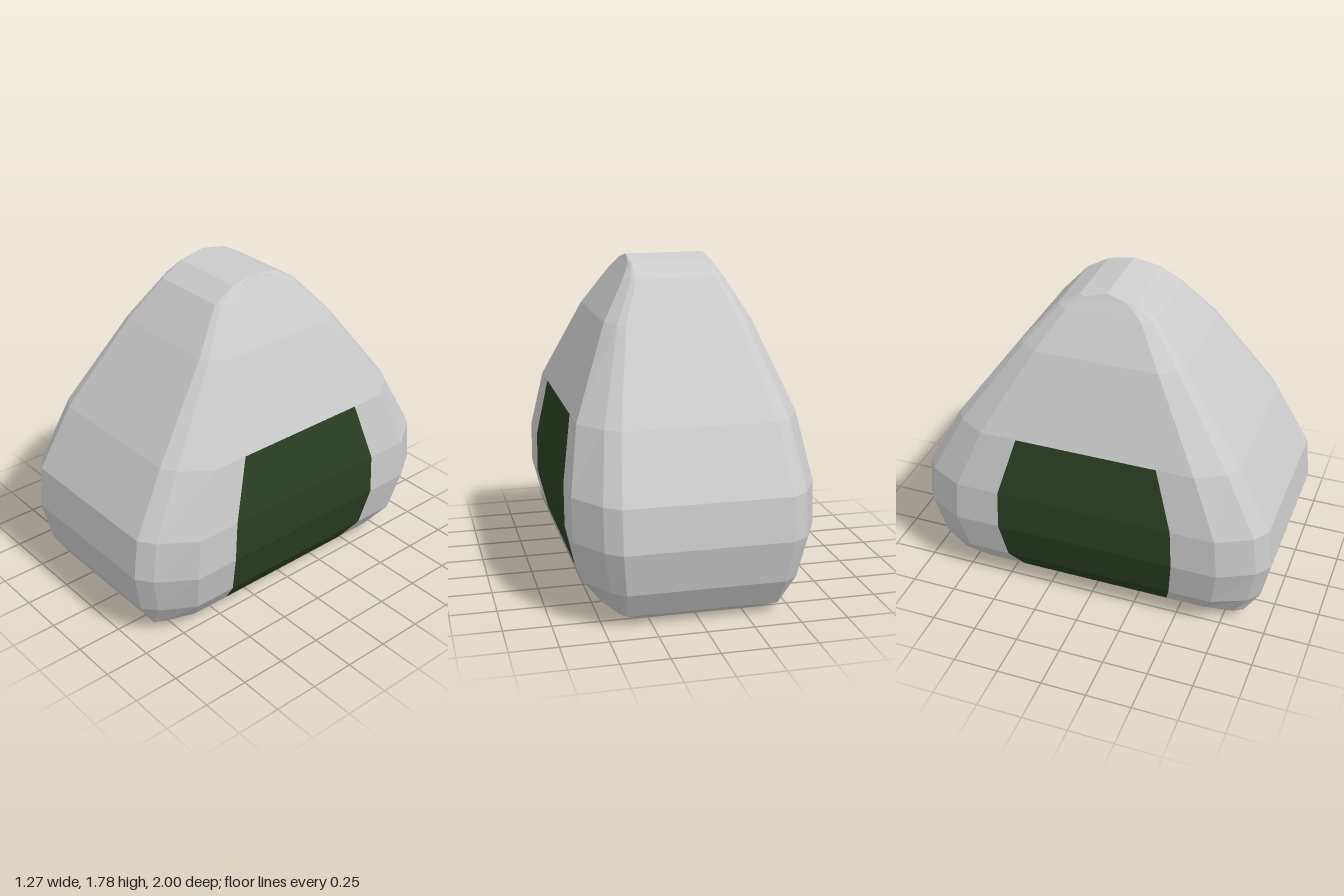
import * as THREE from 'three';

// Levels of the rounded wedge, bottom to top:
// height, half width, half depth, half width of front face, half depth of wrap, x offset
const LEVELS = [
  [0.00, 0.30, 0.75, 0.27, 0.43, -0.02],
  [0.06, 0.47, 0.86, 0.40, 0.43, 0],
  [0.21, 0.58, 0.95, 0.415, 0.475, 0],
  [0.44, 0.635, 1.00, 0.44, 0.50, 0],
  [0.67, 0.635, 0.975, 0.44, 0.49, 0],
  [1.01, 0.58, 0.79, 0.405, 0.39, 0],
  [1.47, 0.395, 0.45, 0.30, 0.22, -0.01],
  [1.68, 0.27, 0.27, 0.215, 0.13, -0.018],
  [1.75, 0.228, 0.15, 0.213, 0.07, -0.018],
  [1.78, 0.213, 0.00, 0.213, 0.00, -0.018],
];
const WRAP_TOP = 5; // the wrap ends at this level

// Sixteen-point cross-section with bevelled corners
function ring([y, x, z, xf, zn, cx]) {
  const xm = xf + (x - xf) * 0.43;
  const quarter = [[x, zn], [x, z * 0.75], [xm, z * 0.94], [xf, z]];
  const flip = (sx, sz) => quarter.map(([px, pz], i) =>
    new THREE.Vector3(cx + sx * px - (i > 1 && y > 0 && y < 1.4 ? 0.015 : 0), y, sz * pz));
  return [
    ...flip(1, 1), ...flip(-1, 1).reverse(),
    ...flip(-1, -1), ...flip(1, -1).reverse(),
  ];
}

function facetedMesh(name, points, color) {
  const geometry = new THREE.BufferGeometry().setFromPoints(points);
  geometry.computeVertexNormals();
  const mesh = new THREE.Mesh(geometry, new THREE.MeshStandardMaterial({ color, flatShading: true }));
  mesh.name = name;
  return mesh;
}

export function createModel() {
  const group = new THREE.Group();
  group.name = 'riceBall';
  const rice = [], wrap = [];

  // Add a triangle unless it has collapsed to a line
  const tri = (list, a, b, c) => {
    const area = b.clone().sub(a).cross(c.clone().sub(a)).length();
    if (area > 1e-7) list.push(a, b, c);
  };
  const fan = (list, pts) => {
    for (let i = 1; i < pts.length - 1; i++) tri(list, pts[0], pts[i], pts[i + 1]);
  };

  // Walls between neighbouring levels; segments 7 and 15 are the flat side panels
  const rings = LEVELS.map(ring);
  for (let l = 0; l < rings.length - 1; l++) {
    const low = rings[l], high = rings[l + 1];
    for (let i = 0; i < 16; i++) {
      const j = (i + 1) % 16;
      const list = i % 8 === 7 && l < WRAP_TOP ? wrap : rice;
      fan(list, [low[j], low[i], high[i], high[j]]);
    }
  }

  // Underside: the wrap crosses the middle, with rice in front and behind
  const base = rings[0];
  fan(wrap, [base[15], base[0], base[7], base[8]]);
  fan(rice, base.slice(0, 8));
  fan(rice, base.slice(8, 16));

  group.add(facetedMesh('rice', rice, 0xcccccc));
  group.add(facetedMesh('seaweedWrap', wrap, 0x2b3f22));
  return group;
}
